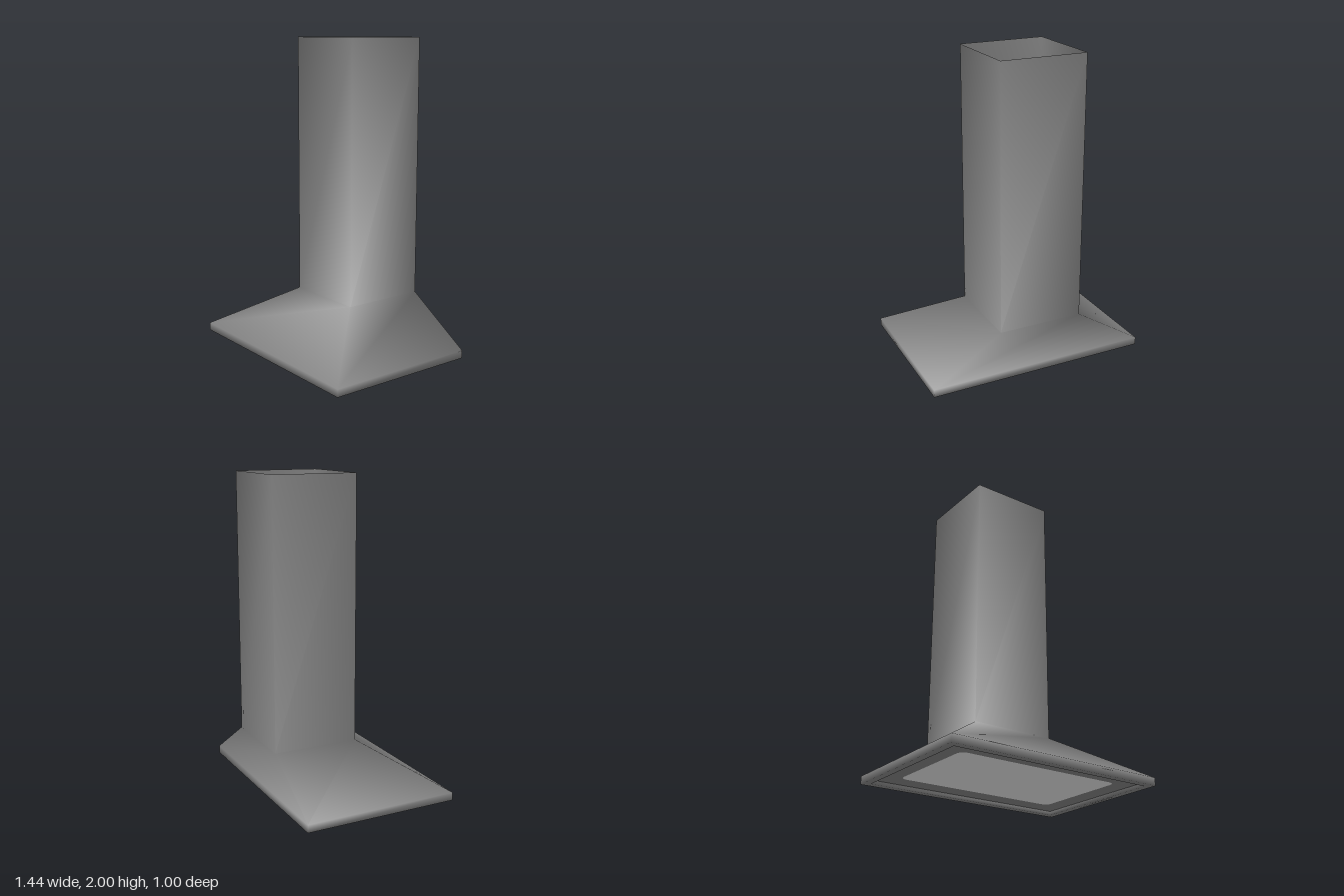
import * as THREE from 'three';

const steel = new THREE.MeshStandardMaterial({ color: 0x808080, side: THREE.DoubleSide });
steel.name = 'dark steel';
const filterGrey = new THREE.MeshStandardMaterial({ color: 0xe0e0e0, side: THREE.DoubleSide });
filterGrey.name = 'light filter';

// Joins rectangular rings, listed from top to bottom, into one smooth skin.
// Each ring is [height, half width, back z, front z].
function ringSkin(rings) {
  const points = [], index = [];
  for (const [y, w, back, front] of rings) {
    points.push(-w, y, front, w, y, front, w, y, back, -w, y, back);
  }
  for (let r = 0; r < rings.length - 1; r++) {
    for (let k = 0; k < 4; k++) {
      const a = r * 4 + k, b = r * 4 + (k + 1) % 4, c = a + 4, d = b + 4;
      index.push(c, d, b, c, b, a);
    }
  }
  const geometry = new THREE.BufferGeometry();
  geometry.setAttribute('position', new THREE.Float32BufferAttribute(points, 3));
  geometry.setIndex(index);
  geometry.computeVertexNormals();
  return geometry;
}

// Rounded rectangle outline centred on the origin
function roundedOutline(Outline, w, d, r) {
  const o = new Outline();
  o.moveTo(-w + r, -d);
  o.lineTo(w - r, -d);
  o.quadraticCurveTo(w, -d, w, -d + r);
  o.lineTo(w, d - r);
  o.quadraticCurveTo(w, d, w - r, d);
  o.lineTo(-w + r, d);
  o.quadraticCurveTo(-w, d, -w, d - r);
  o.lineTo(-w, -d + r);
  o.quadraticCurveTo(-w, -d, -w + r, -d);
  return o;
}

export function createModel() {
  const model = new THREE.Group();
  model.name = 'cookerHood';
  const add = (name, geometry, material) => {
    const mesh = new THREE.Mesh(geometry, material);
    mesh.name = name;
    model.add(mesh);
    return mesh;
  };

  // Open chimney, flared canopy and turned-in lower rim, flat at the back
  add('chimneyAndCanopy', ringSkin([
    [2, 0.275, -0.5, 0.05],
    [0.33, 0.275, -0.5, 0.05],
    [0.05, 0.72, -0.5, 0.5],
    [0, 0.72, -0.5, 0.5],
    [0, 0.675, -0.455, 0.455],
    [0.025, 0.675, -0.455, 0.455],
  ]), steel);

  // Recessed underside frame with a rounded opening
  const frame = new THREE.Shape();
  frame.moveTo(-0.675, -0.455);
  frame.lineTo(0.675, -0.455);
  frame.lineTo(0.675, 0.455);
  frame.lineTo(-0.675, 0.455);
  frame.closePath();
  frame.holes.push(roundedOutline(THREE.Path, 0.55, 0.33, 0.05));
  add('undersideFrame', new THREE.ShapeGeometry(frame).rotateX(Math.PI / 2), steel).position.y = 0.025;

  // Filter panel filling the opening
  const panel = roundedOutline(THREE.Shape, 0.55, 0.33, 0.05);
  add('filterPanel', new THREE.ShapeGeometry(panel).rotateX(Math.PI / 2), filterGrey).position.y = 0.025;

  return model;
}
